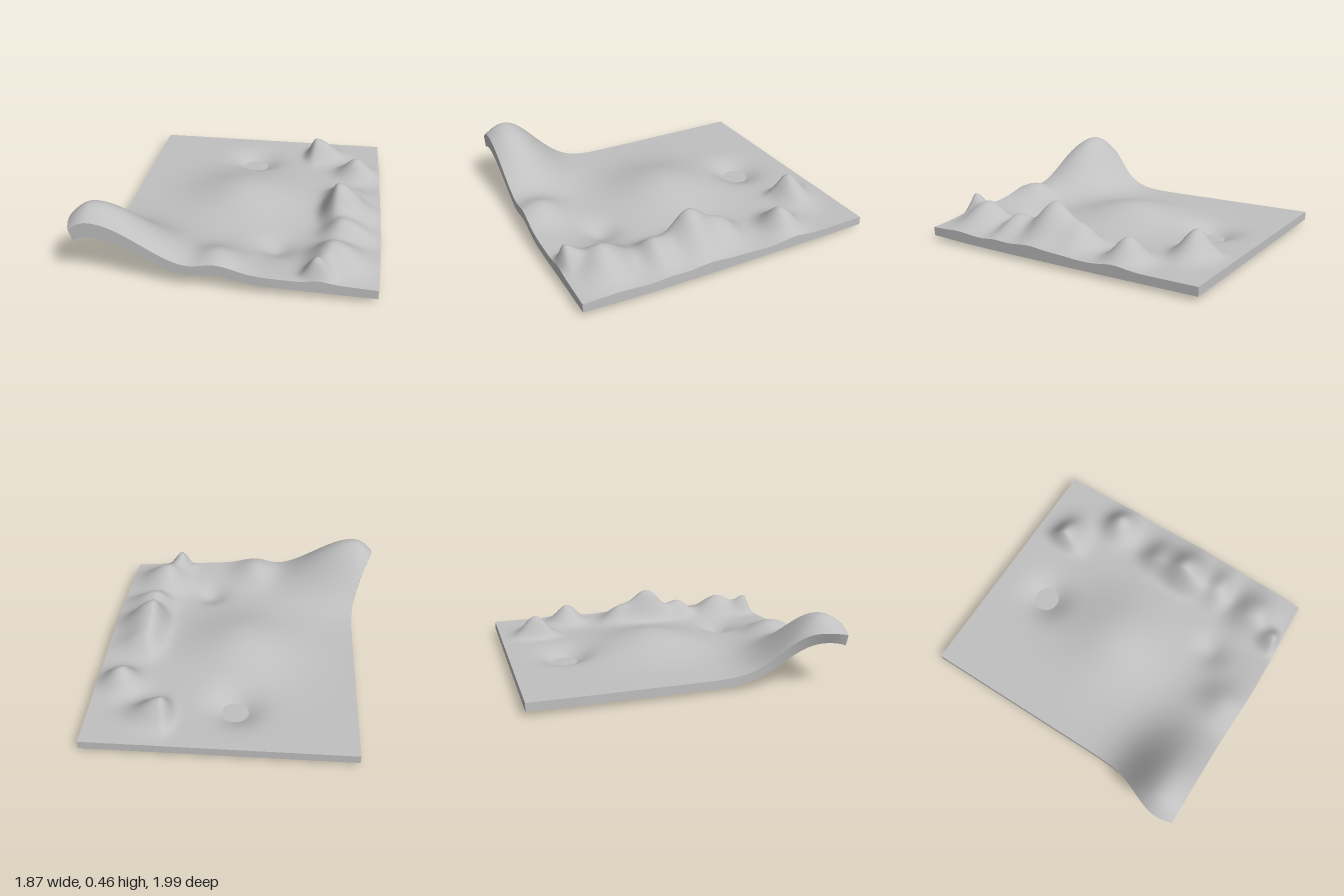
import * as THREE from 'three';

const NX = 110, NZ = 125;
const clay = new THREE.MeshStandardMaterial({ color: 0xc0c0c0, side: THREE.DoubleSide });
clay.name = 'clay grey';

// Rounded bump: [x, z, height, spread to -x, to +x, to -z, to +z]
const LIFTS = [ // these bend the whole slab
  [-0.8, 0.84, 0.375, 0.07, 0.2, 0.085, 0.09],   // corner hill
  [-0.04, 0.87, 0.085, 0.02, 0.025, 0.03, 0.035], // front knoll
  [0.2, 1.0, 0.04, 0.1, 0.25, 0.08, 0.08],       // raised front rim
];
const RELIEF = [ // these shape the top only
  [0, -0.02, 0.109, 0.122, 0.122, 0.122, 0.122],   // central mound
  [0, -0.62, -0.086, 0.022, 0.022, 0.022, 0.022],  // crater
  [0.28, 0.59, -0.05, 0.012, 0.012, 0.012, 0.012], // dimple
  [0.45, -0.75, 0.155, 0.003, 0.028, 0.012, 0.011], // back peak
  [0.76, -0.46, 0.138, 0.012, 0.015, 0.013, 0.011], // second peak
  [0.64, 0.15, 0.235, 0.006, 0.038, 0.022, 0.022], // main ridge
  [0.66, -0.08, 0.1, 0.008, 0.03, 0.013, 0.015],   // ridge shoulders
  [0.68, 0.42, 0.115, 0.012, 0.03, 0.012, 0.008],
  [0.63, 0.73, 0.15, 0.016, 0.035, 0.03, 0.02],    // front mountain
  [0.54, 0.93, 0.13, 0.004, 0.006, 0.008, 0.0012], // front spike
];

function heightOf(list, x, z) {
  let h = 0;
  for (const [cx, cz, height, xl, xr, zb, zf] of list) {
    const dx = x - cx, dz = z - cz;
    h += height * Math.exp(-dx * dx / (dx < 0 ? xl : xr) - dz * dz / (dz < 0 ? zb : zf));
  }
  return h;
}

// Plan outline: the left edge bulges near the front, the front edge is gently curved
function plan(a, b, bulge) {
  const z0 = -1 + 1.97 * b;
  const left = -0.78 - bulge * Math.exp(-((z0 - 0.86) ** 2) / 0.075);
  const right = 0.935 - 0.03 * b ** 4;
  const x = left + (right - left) * a;
  const z = z0 + 0.02 * b * Math.exp(-((x - 0.2) ** 2) / 0.2);
  return [x, z];
}

function upper(a, b) {
  const [x, z] = plan(a, b, 0.16);
  return new THREE.Vector3(x, 0.08 + heightOf(LIFTS, x, z) + heightOf(RELIEF, x, z), z);
}

function lower(a, b) {
  const [x, z] = plan(a, b, 0.13);
  return new THREE.Vector3(x, 0.025 + 0.86 * heightOf(LIFTS, x, z), z);
}

// Grid surface from a point rule; its normal is dv x du
function surface(name, nu, nv, rule) {
  const positions = [], index = [];
  for (let i = 0; i <= nu; i++) {
    for (let j = 0; j <= nv; j++) {
      positions.push(...rule(i / nu, j / nv).toArray());
      if (i < nu && j < nv) {
        const p = i * (nv + 1) + j, q = p + nv + 1;
        index.push(p, p + 1, q, q, p + 1, q + 1);
      }
    }
  }
  const geometry = new THREE.BufferGeometry();
  geometry.setAttribute('position', new THREE.Float32BufferAttribute(positions, 3));
  geometry.setIndex(index);
  geometry.computeVertexNormals();
  const mesh = new THREE.Mesh(geometry, clay);
  mesh.name = name;
  return mesh;
}

export function createModel() {
  const group = new THREE.Group();
  group.name = 'terrainSlab';
  group.add(surface('terrainTop', NX, NZ, upper));
  group.add(surface('underside', NX, NZ, (u, v) => lower(1 - u, v)));

  // Side walls, going round the rim
  const walls = [
    ['frontWall', NX, v => [v, 1]],
    ['rightWall', NZ, v => [1, 1 - v]],
    ['backWall', NX, v => [1 - v, 0]],
    ['leftWall', NZ, v => [0, v]],
  ];
  for (const [name, n, rim] of walls) {
    group.add(surface(name, 1, n, (u, v) => lower(...rim(v)).lerp(upper(...rim(v)), u)));
  }
  return group;
}
